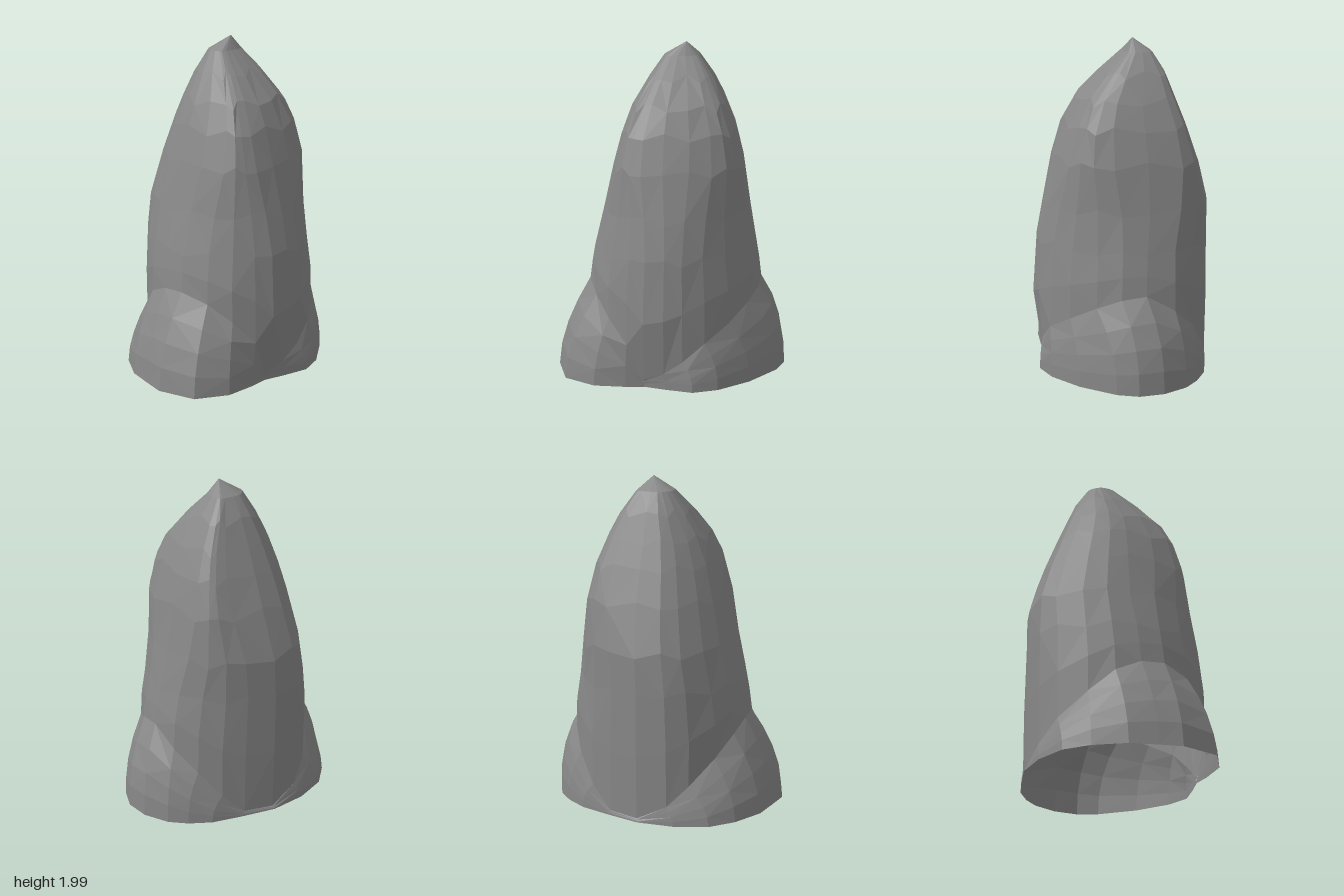
import * as THREE from 'three';

// Columns around the rock: spire x, z, foot x, z, seam height
const COLUMNS = [
  [-.16, .49, -.16, .45, .06], [-.04, .51, -.03, .49, .11], [.07, .50, .13, .53, .19],
  [.20, .45, .28, .485, .30], [.34, .36, .47, .355, .39], [.46, .23, .64, .17, .48],
  [.53, .10, .695, .05, .54], [.55, -.04, .69, -.10, .56], [.54, -.21, .625, -.25, .46],
  [.46, -.34, .54, -.34, .33], [.35, -.43, .42, -.42, .17], [.22, -.485, .24, -.48, .04],
  [.04, -.535, .03, -.54, .03], [-.14, -.525, -.19, -.535, .12], [-.26, -.46, -.39, -.475, .24],
  [-.38, -.33, -.52, -.36, .38], [-.46, -.20, -.63, -.19, .50], [-.495, -.06, -.67, -.03, .56],
  [-.50, .08, -.70, .10, .57], [-.45, .24, -.64, .33, .52], [-.37, .36, -.46, .44, .42],
  [-.26, .44, -.27, .455, .28],
];

// Spire extents by height: y, min x, max x, min z, max z
const LEVELS = [
  [0, -.5, .55, -.52, .46], [.3, -.5, .55, -.53, .54], [.6, -.5, .545, -.53, .53],
  [.8, -.465, .51, -.53, .51], [1, -.415, .475, -.53, .47], [1.2, -.37, .445, -.475, .425],
  [1.4, -.325, .415, -.405, .375], [1.6, -.26, .345, -.325, .3], [1.75, -.175, .275, -.265, .18],
  [1.88, -.08, .195, -.21, .03], [1.95, -.03, .135, -.14, -.03], [2, .08, .08, -.055, -.055],
];

const { lerp, smoothstep } = THREE.MathUtils;
const COUNT = COLUMNS.length;
const column = (i) => COLUMNS[i % COUNT];

// Point of the spire surface on a column at height y
function spirePoint(i, y) {
  const [x, z] = column(i);
  let k = 0;
  while (k < LEVELS.length - 2 && LEVELS[k + 1][0] < y) k++;
  const a = LEVELS[k], b = LEVELS[k + 1];
  const t = (y - a[0]) / (b[0] - a[0]);
  const [, x0, x1, z0, z1] = a.map((v, n) => lerp(v, b[n], t));
  const u = (x + .5) / .525 - 1, v = (z + .53) / .52 - 1;
  // The upper part is squarer, with shoulders on three corners
  const q = u < 0 && v < 0 ? 0 : 1.2 * smoothstep(y, .8, 1.5);
  const su = u + q * u * v * v * Math.max(0, 1 - Math.abs(u));
  const sv = v + q * v * u * u * Math.max(0, 1 - Math.abs(v));
  return [lerp(x0, x1, (su + 1) / 2), y, lerp(z0, z1, (sv + 1) / 2)];
}

// Skin over a grid of points; rows rise, columns run counterclockwise from above
function skin(name, first, last, rows, point, material) {
  const positions = [], indices = [], w = last - first + 1;
  for (let r = 0; r <= rows; r++) {
    for (let i = first; i <= last; i++) positions.push(...point(i, r));
  }
  for (let r = 0; r < rows; r++) {
    for (let c = 0; c < w - 1; c++) {
      const a = r * w + c, b = a + 1, d = a + w, e = d + 1;
      // Alternate diagonals for an irregular chipped look
      if ((r * 3 + c) % 2) indices.push(a, b, e, a, e, d);
      else indices.push(a, b, d, b, e, d);
    }
  }
  const geometry = new THREE.BufferGeometry();
  geometry.setAttribute('position', new THREE.Float32BufferAttribute(positions, 3));
  geometry.setIndex(indices);
  geometry.computeVertexNormals();
  const mesh = new THREE.Mesh(geometry, material);
  mesh.name = name;
  return mesh;
}

export function createModel() {
  const group = new THREE.Group();
  group.name = 'rock';
  const stone = new THREE.MeshStandardMaterial({
    color: 0x888888, flatShading: true, side: THREE.DoubleSide,
  });

  // Tall spire, starting at the seam with the foot boulders
  const heights = [.8, 1.03, 1.3, 1.5, 1.65, 1.8, 1.92, 2];
  const spire = (i, r) => {
    const h = column(i)[4];
    if (r < 2) return spirePoint(i, lerp(h, .8, r / 2));
    const k = r - 2;
    const wobble = k < 6 ? .025 * Math.sin((i % COUNT) * 2.4 + k * 1.9) : 0;
    return spirePoint(i, heights[k] + wobble);
  };
  group.add(skin('spire', 0, COUNT, heights.length + 1, spire, stone));

  // Foot boulders: bulging skins from the ground up to the seam, open underneath
  const boulder = (power) => (i, r) => {
    const [, , x, z, h] = column(i);
    const t = r / 4, s = Math.pow(t, power);
    const top = spirePoint(i, h);
    return [lerp(x, top[0], s), lerp(.01, h, t), lerp(z, top[2], s)];
  };
  group.add(skin('leftBoulder', 0, 12, 4, boulder(2.4), stone));
  group.add(skin('rightBoulder', 12, COUNT, 4, boulder(1.75), stone));
  return group;
}
